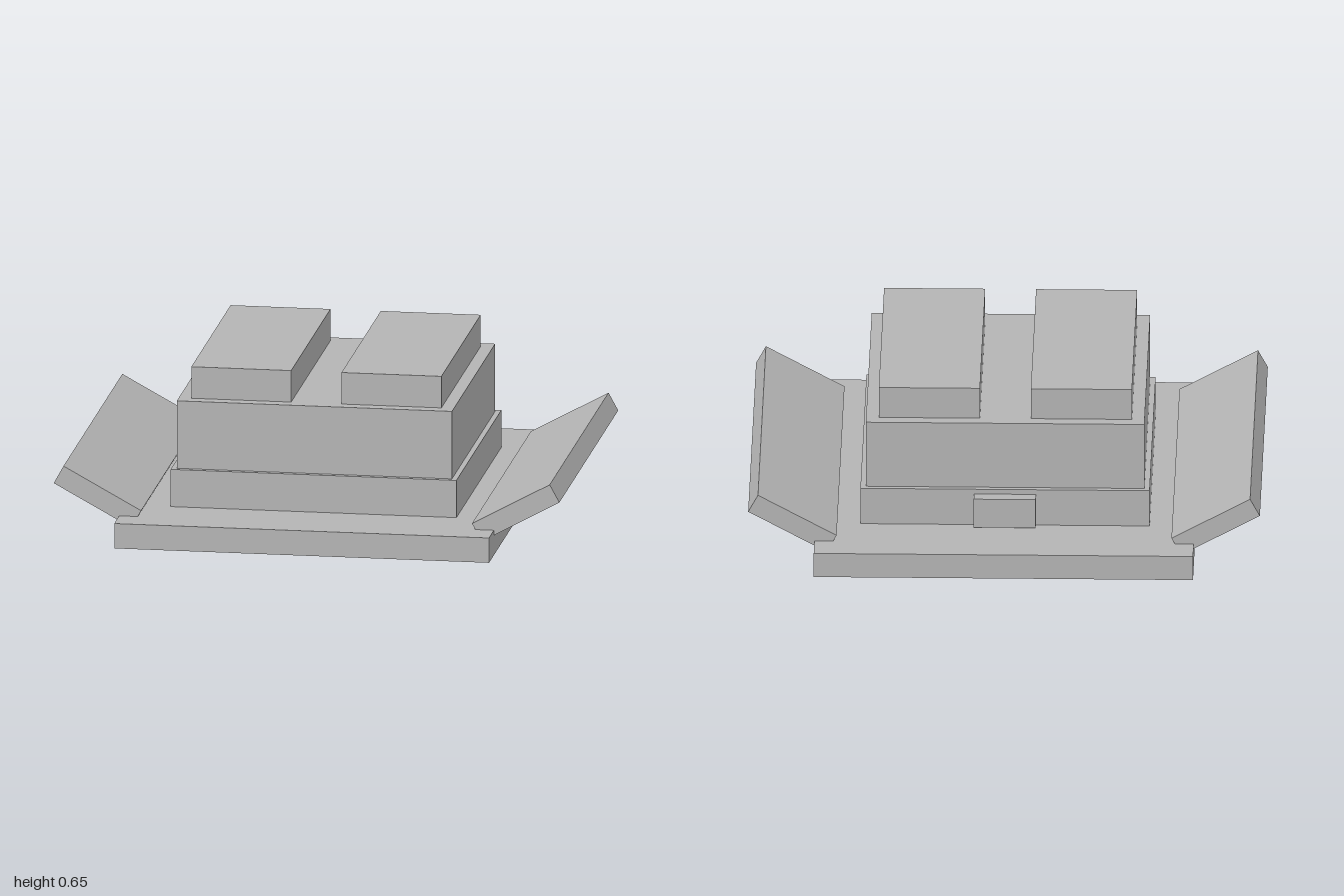
import * as THREE from 'three';

export function createModel() {
  const model = new THREE.Group();
  const grey = new THREE.MeshStandardMaterial({ color: 0xb4b4b4 });
  grey.name = 'plain grey';

  // Box given by its size and centre
  function box(name, [w, h, d], [x, y, z]) {
    const mesh = new THREE.Mesh(new THREE.BoxGeometry(w, h, d), grey);
    mesh.name = name;
    mesh.position.set(x, y, z);
    model.add(mesh);
    return mesh;
  }

  // Stepped body
  box('basePlate', [1.482, 0.1, 1.73], [0, 0.05, 0]);
  box('lowerBody', [1.13, 0.15, 1.13], [0, 0.175, 0]);
  box('upperBody', [1.088, 0.272, 1.088], [0, 0.386, 0]);

  // Small tab on the back
  box('backTab', [0.242, 0.12, 0.07], [0, 0.17, -0.582]);

  // Mirrored roof blocks and tilted side flaps
  for (const [side, s] of [['left', 1], ['right', -1]]) {
    box(side + 'RoofBlock', [0.395, 0.127, 0.99], [s * 0.297, 0.5855, 0]);
    const flap = box(side + 'Flap', [0.35, 0.08, 1.482], [s * 0.827, 0.173, 0]);
    flap.rotation.z = s * 0.5;
  }

  return model;
}
